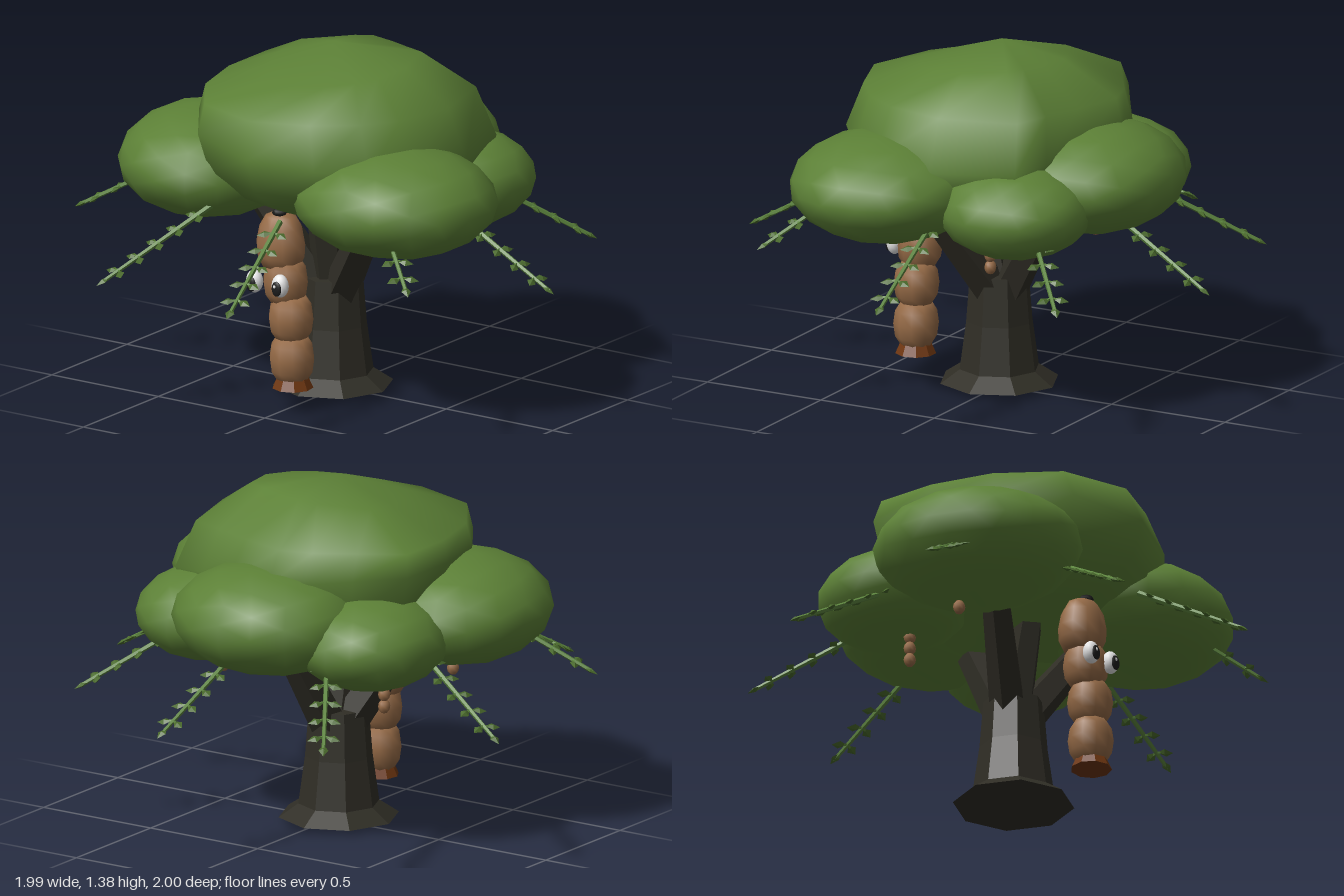
import * as THREE from 'three';
import { mergeVertices } from 'three/addons/utils/BufferGeometryUtils.js';

const mat = (name, color) => {
  const m = new THREE.MeshStandardMaterial({ color });
  m.name = name;
  return m;
};

export function createModel() {
  const model = new THREE.Group();
  model.name = 'treeWithCaterpillar';
  const foliage = mat('foliageGreen', 0x5c8036);
  const leafMat = mat('leafGreen', 0x4a6a2c);
  const stemMat = mat('stemGreen', 0x5c843e);
  const bark = mat('barkDark', 0x2f2d25);
  const skin = mat('skinTan', 0x966b47);
  const rust = mat('rustBrown', 0x6e3610);
  const white = mat('eyeWhite', 0xe6e6e6);
  const black = mat('pupilBlack', 0x1c1c1c);

  const add = (name, geo, material, pos = [0, 0, 0], scale = [1, 1, 1], parent = model) => {
    const m = new THREE.Mesh(geo, material);
    m.name = name;
    m.position.set(...pos);
    m.scale.set(...scale);
    parent.add(m);
    return m;
  };
  const flat = (geo) => {
    const g = geo.index ? geo.toNonIndexed() : geo;
    g.computeVertexNormals();
    return g;
  };
  const lathe = (pts, sides) =>
    new THREE.LatheGeometry(pts.map(([r, y]) => new THREE.Vector2(r, y)), sides);
  const up = new THREE.Vector3(0, 1, 0);
  // Tapered rod between two points
  const rod = (name, a, b, ra, rb, sides, material, parent = model) => {
    const d = b.clone().sub(a);
    const g = flat(new THREE.CylinderGeometry(rb, ra, d.length(), sides));
    const m = add(name, g, material, a.clone().add(b).multiplyScalar(0.5).toArray(), [1, 1, 1], parent);
    m.quaternion.setFromUnitVectors(up, d.normalize());
  };
  const V = (x, y, z) => new THREE.Vector3(x, y, z);

  // Trunk with a flared foot
  add('trunk', flat(lathe([[0, 0], [0.235, 0.02], [0.158, 0.072], [0.132, 0.26], [0.117, 0.45], [0, 0.46]], 8)),
    bark, [-0.025, 0, 0.01]);
  for (const [x, y, z] of [[0.26, 0.76, 0.16], [-0.28, 0.76, 0.13], [0.04, 0.78, -0.26], [-0.03, 0.78, 0.09]])
    rod('branch', V(x * 0.16 - 0.02, 0.4, z * 0.16), V(x, y, z), 0.075, 0.058, 5, bark);

  // Main crown: one plan outline scaled through several heights
  const outline = [[-0.54, -0.27], [-0.36, -0.38], [-0.2, -0.48], [-0.06, -0.52], [0.16, -0.46],
    [0.33, -0.4], [0.49, -0.35], [0.58, -0.02], [0.52, 0.25], [0.42, 0.4], [0.25, 0.53],
    [0, 0.62], [-0.3, 0.52], [-0.47, 0.27], [-0.54, 0]];
  // Each ring: scale, height, x shift, x tilt, z tilt
  const rings = [[0, 0.74, 0, 0, 0], [0.5, 0.75, 0, 0, 0.06], [0.72, 0.8, 0, 0, 0.06], [0.92, 0.92, 0, -0.06, 0],
    [1, 1.06, 0, -0.1, 0], [0.91, 1.2, -0.03, 0, 0], [0.52, 1.315, 0, 0.05, -0.1], [0, 1.385, -0.03, 0, 0]];
  const n = outline.length, verts = [], idx = [];
  rings.forEach(([s, y, shift, tx, tz], r) => outline.forEach(([x, z], i) => {
    verts.push(x * s + shift, y + tx * x * s + tz * z * s, z * s);
    if (r === 0) return;
    const j = (i + 1) % n, a = (r - 1) * n + i, b = (r - 1) * n + j, c = r * n + i, d = r * n + j;
    if (r > 1) idx.push(a, c, b);
    if (r < rings.length - 1) idx.push(b, c, d);
  }));
  let crown = new THREE.BufferGeometry();
  crown.setAttribute('position', new THREE.Float32BufferAttribute(verts, 3));
  crown.setIndex(idx);
  crown = mergeVertices(crown);
  crown.computeVertexNormals();
  add('mainCrown', crown, foliage);

  // Lower crown lobes, each with a yaw angle
  const lobe = new THREE.IcosahedronGeometry(1, 2);
  for (const [name, pos, scale, yaw] of [
    ['frontRightLobe', [-0.47, 0.89, 0.185], [0.36, 0.215, 0.41], 0.35],
    ['frontLeftLobe', [0.43, 0.885, 0.24], [0.405, 0.212, 0.38], 0],
    ['backLobe', [0, 0.91, -0.43], [0.385, 0.215, 0.345], 0],
    ['backLeftLobe', [0.37, 0.84, -0.28], [0.285, 0.185, 0.305], 0],
    ['backRightLobe', [-0.38, 0.84, -0.28], [0.29, 0.185, 0.32], 0],
  ]) add(name, lobe, foliage, pos, scale).rotation.y = yaw;

  // Drooping vines with paired leaves on short stalks
  const leafGeo = flat(new THREE.OctahedronGeometry(1));
  for (const [tx, tz, ty] of [[0.12, -0.98, 0.55], [-0.55, -0.85, 0.56], [-0.98, -0.31, 0.55],
    [-0.96, 0.37, 0.66], [-0.5, 0.88, 0.55], [0.17, 0.98, 0.56], [0.75, 0.62, 0.66],
    [0.97, -0.02, 0.55], [0.72, -0.66, 0.57]]) {
    const vine = new THREE.Group();
    vine.name = 'vine';
    model.add(vine);
    const tip = V(tx, ty, tz), start = V(tx * 0.54, ty + 0.25, tz * 0.54);
    rod('vineStem', start, tip, 0.012, 0.008, 5, stemMat, vine);
    const dir = tip.clone().sub(start).normalize();
    const side = V(-dir.z, 0, dir.x).normalize();
    const normal = side.clone().cross(dir);
    const leaf = (p, d) => {
      const m = add('leaf', leafGeo, leafMat, p.toArray(), [0.019, 0.032, 0.01], vine);
      m.quaternion.setFromRotationMatrix(
        new THREE.Matrix4().makeBasis(d.clone().cross(normal), d, normal));
    };
    for (let k = 0; k < 5; k++) {
      const p = start.clone().lerp(tip, 0.12 + k * 0.18);
      for (const s of [-1, 1]) {
        const d = side.clone().multiplyScalar(s).addScaledVector(dir, 0.4).normalize();
        const c = p.clone().addScaledVector(d, 0.037);
        rod('leafStalk', p, c, 0.006, 0.005, 4, stemMat, vine);
        leaf(c, d);
      }
    }
    leaf(tip.clone().addScaledVector(dir, -0.008), dir);
  }

  // Hanging bead pods
  const bead = new THREE.SphereGeometry(1, 8, 6);
  for (const [x, y, z, count] of [[-0.39, 0.565, -0.21, 3], [0.38, 0.6, -0.18, 3], [-0.49, 0.66, 0.11, 2]])
    for (let k = 0; k < count; k++)
      add('podBead', bead, skin, [x, y + k * 0.048, z], [0.024, 0.029, 0.024]);

  // Caterpillar hanging in front of the trunk
  const bug = new THREE.Group();
  bug.name = 'caterpillar';
  model.add(bug);
  const barrel = lathe([[0, -1], [0.66, -0.95], [0.92, -0.55], [1, 0], [0.92, 0.55], [0.66, 0.95], [0, 1]], 10);
  const head = lathe([[0, -1], [0.75, -0.95], [0.97, -0.55], [1, -0.1], [0.88, 0.45], [0.62, 0.85], [0.3, 0.98], [0, 1]], 10);
  for (const [x, y, h] of [[0.022, 0.21, 0.093], [0.018, 0.37, 0.09], [-0.008, 0.515, 0.09]])
    add('bodySegment', barrel, skin, [x, y, 0.35], [0.09, h, 0.088], bug);
  add('topSegment', head, skin, [-0.03, 0.675, 0.35], [0.1, 0.112, 0.09], bug);
  add('hangingNub', bead, black, [-0.025, 0.788, 0.365], [0.03, 0.018, 0.03], bug);
  add('tailCap', flat(new THREE.CylinderGeometry(0.062, 0.08, 0.04, 9)), rust, [0.025, 0.112, 0.35], [1, 1, 1], bug);

  // Eyes with pupil and glint
  const ball = new THREE.SphereGeometry(1, 14, 10);
  for (const x of [-0.09, 0.03]) {
    add('eye', ball, white, [x, 0.52, 0.44], [0.035, 0.046, 0.03], bug);
    add('pupil', ball, black, [x, 0.513, 0.465], [0.022, 0.03, 0.009], bug);
    add('glint', ball, white, [x - 0.005, 0.523, 0.473], [0.006, 0.007, 0.003], bug);
  }
  return model;
}
